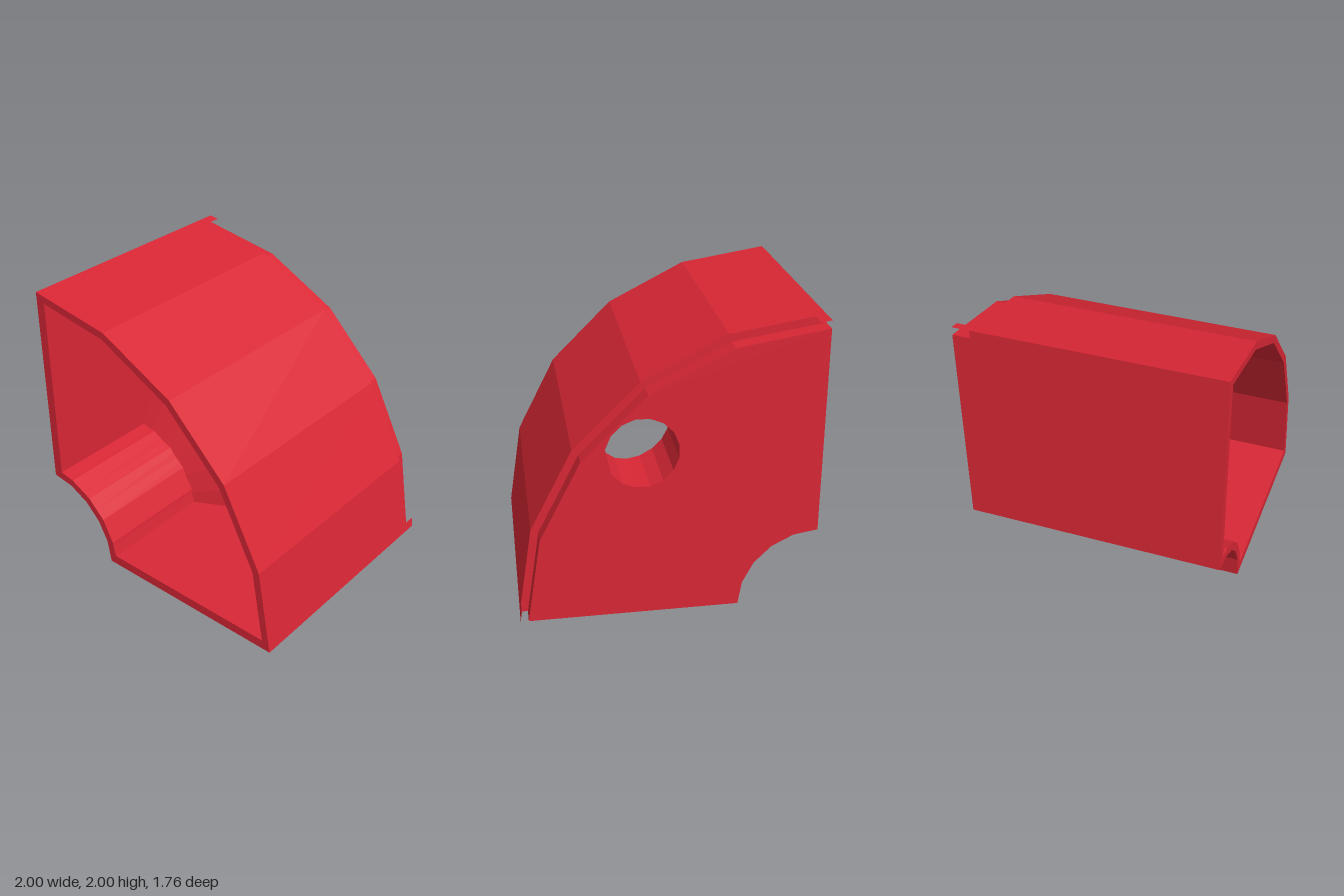
import * as THREE from 'three';

const RAD = Math.PI / 180;
const FRONT = 0.88, STEP = -0.76, BACK = -0.88;   // z planes
const OUTER = 2, LIP = 1.946, INNER = 0.53, WALL = 0.07;
const HOLE = { x: 0.18, y: 1.18, r: 0.24 };

// Polar point around the arc centre at the lower left corner
const P = (r, deg) => new THREE.Vector2(-1 + r * Math.cos(deg * RAD), r * Math.sin(deg * RAD));

// Radius of a regular polygon with `step` degrees per side
const polyR = (R, deg, step) => {
  const d = deg - (Math.min(Math.floor(deg / step), 90 / step - 1) + 0.5) * step;
  return R * Math.cos(step / 2 * RAD) / Math.cos(d * RAD);
};

// Quarter ring of five segments
function quarterRing(rOut, rIn) {
  const pts = [];
  for (let a = 0; a <= 90; a += 18) pts.push(P(rOut, a));
  for (let a = 90; a >= 0; a -= 18) pts.push(P(rIn, a));
  return pts;
}

// Pocket limits along a ray
const pocketOut = a => polyR(LIP, a, 18);
const pocketIn = a => Math.max(polyR(0.588, a, 18), WALL / Math.sin(a * RAD), WALL / Math.cos(a * RAD));
const END = 2.065, CORNER = 6.87;
const rays = [END, CORNER, 15, 18, 30, 36, 45, 54, 60, 72, 75, 90 - CORNER, 90 - END];

// Part of the pocket between two rays, counter-clockwise
function pocketOutline(a0, a1) {
  const list = rays.filter(a => a >= a0 && a <= a1);
  const outer = list.map(a => P(pocketOut(a), a));
  const inner = list.filter(a => pocketOut(a) - pocketIn(a) > 0.02).map(a => P(pocketIn(a), a)).reverse();
  return [outer, inner];
}

// Height of the sloping pocket floor, a cone of 15 degree facets
function floorZ(x, y) {
  const r = Math.hypot(x + 1, y), a = Math.atan2(y, x + 1) / RAD;
  const mid = (Math.min(5, Math.max(0, Math.floor(a / 15))) + 0.5) * 15;
  return 0.325 - 0.505 * r * Math.cos((a - mid) * RAD) / Math.cos(7.5 * RAD);
}

const holePoint = (deg, r = HOLE.r) =>
  new THREE.Vector2(HOLE.x + r * Math.cos(deg * RAD), HOLE.y + r * Math.sin(deg * RAD));

// Half of the round hole, clockwise, to notch a floor facet
function halfHole(start) {
  const flat = HOLE.r * Math.cos(11.25 * RAD);
  const pts = [holePoint(start, flat)];
  for (let i = 0; i < 8; i++) pts.push(holePoint(start - 11.25 - 22.5 * i));
  pts.push(holePoint(start - 180, flat));
  return pts;
}

function slab(shape, z0, z1) {
  const g = new THREE.ExtrudeGeometry(shape, { depth: z1 - z0, bevelEnabled: false });
  return g.translate(0, 0, z0);
}

export function createModel() {
  const group = new THREE.Group();
  const red = new THREE.MeshStandardMaterial({ color: 0xd92735, flatShading: true });
  const inside = red.clone();
  inside.side = THREE.BackSide;
  const thin = red.clone();
  thin.side = THREE.DoubleSide;
  const add = (name, geometry, material = red, parent = group) => {
    const m = new THREE.Mesh(geometry, material);
    m.name = name;
    parent.add(m);
  };

  // Curved shell with the open pocket
  const shell = new THREE.Shape(quarterRing(OUTER, INNER));
  shell.holes.push(new THREE.Path(pocketOutline(0, 90).flat()));
  add('shell', slab(shell, STEP, FRONT));

  // Stepped-in back plate with the round hole
  const plate = new THREE.Shape(quarterRing(LIP, INNER));
  const ring = [];
  for (let i = 0; i < 16; i++) ring.push(holePoint(-11.25 - 22.5 * i));
  plate.holes.push(new THREE.Path(ring));
  add('backPlate', slab(plate, BACK, STEP));

  // Sloping pocket floor, one facet per wedge
  const floor = new THREE.Group();
  floor.name = 'pocketFloor';
  group.add(floor);
  for (let a = 0; a < 90; a += 15) {
    const [outer, inner] = pocketOutline(a, a + 15);
    const pts = [...outer, ...(a === 30 ? halfHole(45) : []), ...inner, ...(a === 45 ? halfHole(225) : [])];
    const g = new THREE.ShapeGeometry(new THREE.Shape(pts));
    const p = g.attributes.position;
    for (let i = 0; i < p.count; i++) p.setZ(i, floorZ(p.getX(i), p.getY(i)));
    g.computeVertexNormals();
    add('floorFacet', g, red, floor);
  }

  // Hole wall from the floor down to the back plate
  const bore = new THREE.CylinderGeometry(HOLE.r, HOLE.r, 1, 16, 1, true, Math.PI / 16);
  bore.rotateX(Math.PI / 2).translate(HOLE.x, HOLE.y, 0);
  const b = bore.attributes.position;
  for (let i = 0; i < b.count; i++) b.setZ(i, b.getZ(i) > 0 ? floorZ(b.getX(i), b.getY(i)) : STEP);
  add('holeWall', bore, inside);

  // Thin tabs that continue the outer skin at both ends of the step
  const tab = (name, p, q) => {
    const g = new THREE.BufferGeometry();
    const v = [p.x, p.y, STEP, p.x, p.y, BACK, q.x, q.y, BACK, q.x, q.y, STEP];
    g.setAttribute('position', new THREE.Float32BufferAttribute(v, 3));
    g.setIndex([0, 1, 2, 0, 2, 3]);
    g.computeVertexNormals();
    add(name, g, thin);
  };
  tab('lowerTab', P(OUTER, 0), P(polyR(OUTER, 2, 18), 2));
  tab('upperTab', P(polyR(OUTER, 88, 18), 88), P(OUTER, 90));

  return group;
}
